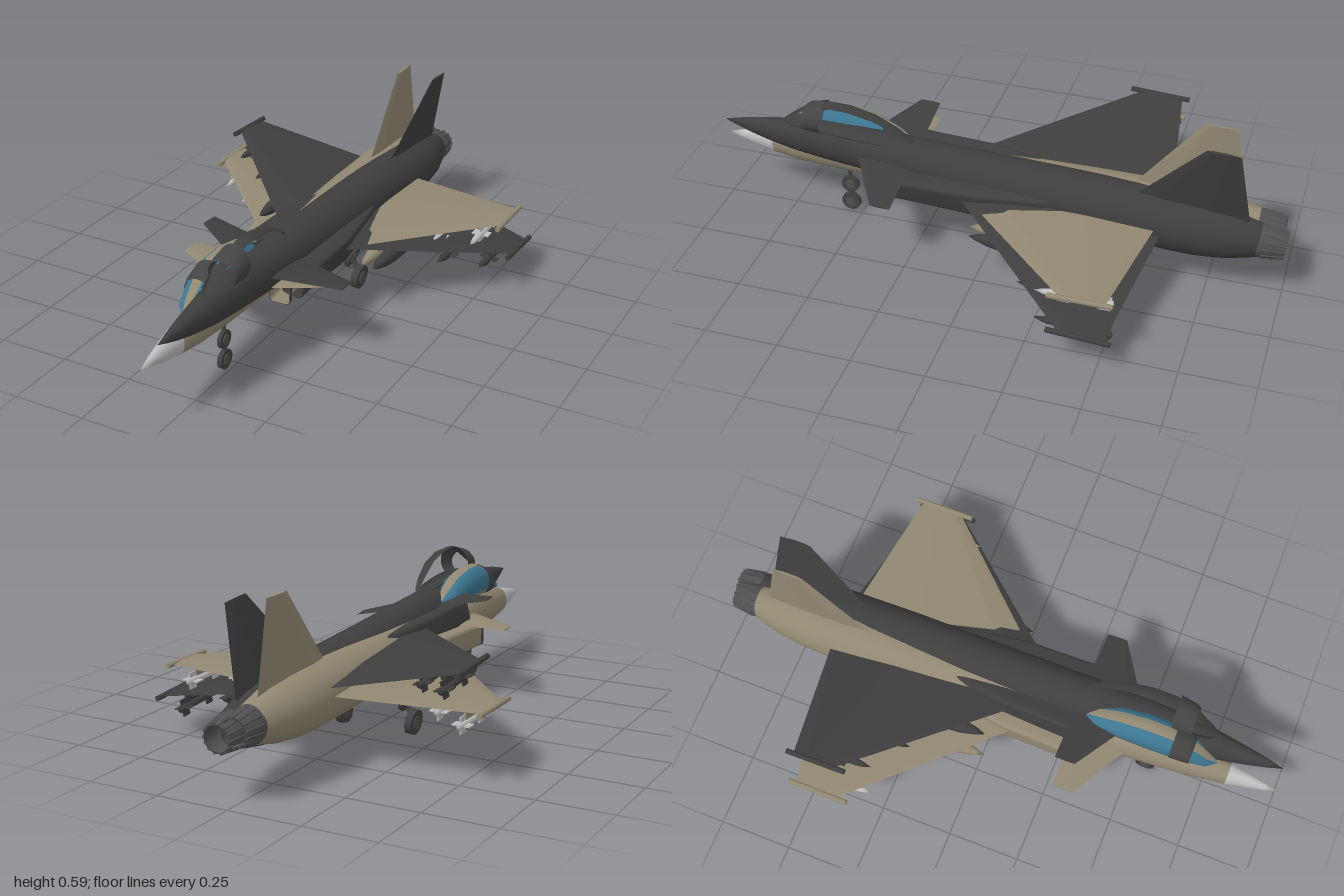
import * as THREE from 'three';
import { mergeVertices } from 'three/addons/utils/BufferGeometryUtils.js';
import { ConvexGeometry } from 'three/addons/geometries/ConvexGeometry.js';

const mat = (name, color, side = THREE.FrontSide) => {
  const m = new THREE.MeshStandardMaterial({ color, side });
  m.name = name;
  return m;
};
const V = (x, y, z) => new THREE.Vector3(x, y, z);

// Surface through elliptical sections [z, centreY, halfWidth, halfHeight, centreX], nose to tail.
// Angles run from the top towards +x; a power below 1 makes the section boxy.
function loft(sections, a0 = 0, a1 = Math.PI * 2, power = 1, scale = 1, n = 32) {
  const pos = [], idx = [];
  const pw = (v) => Math.sign(v) * Math.abs(v) ** power;
  for (const [z, cy, hw, hh, cx = 0] of sections)
    for (let j = 0; j <= n; j++) {
      const a = a0 + (a1 - a0) * j / n;
      pos.push(cx + hw * scale * pw(Math.sin(a)), cy + hh * scale * pw(Math.cos(a)), z);
    }
  for (let i = 0; i < sections.length - 1; i++)
    for (let j = 0; j < n; j++) {
      const p = i * (n + 1) + j, q = p + n + 1;
      idx.push(p, p + 1, q, p + 1, q + 1, q);
    }
  let g = new THREE.BufferGeometry();
  g.setAttribute('position', new THREE.Float32BufferAttribute(pos, 3));
  g.setIndex(idx);
  g = mergeVertices(g, 1e-5);
  g.computeVertexNormals();
  return g;
}

// Part of a section list between two z values
function cut(sections, front, back) {
  const at = (z) => {
    const i = sections.findIndex((s, k) => k > 0 && s[0] <= z);
    const a = sections[i - 1], b = sections[i], t = (a[0] - z) / (a[0] - b[0]);
    return a.map((v, k) => v + (b[k] - v) * t);
  };
  return [at(front), ...sections.filter((s) => s[0] < front && s[0] > back), at(back)];
}

// Thin tapered panel: each end is [point at leading edge, point at trailing edge, thickness direction]
function panel(ends) {
  const pts = [];
  for (const [le, te, th] of ends) {
    pts.push(le, te);
    for (const t of [0.2, 0.65]) {
      const m = le.clone().lerp(te, t);
      pts.push(m.clone().add(th), m.clone().sub(th));
    }
  }
  return new ConvexGeometry(pts);
}

function add(parent, name, geometry, material, x = 0, y = 0, z = 0) {
  const m = new THREE.Mesh(geometry, material);
  m.name = name;
  m.position.set(x, y, z);
  parent.add(m);
  return m;
}

function rod(parent, name, a, b, r, material) {
  const d = b.clone().sub(a);
  const m = add(parent, name, new THREE.CylinderGeometry(r, r, d.length(), 12), material);
  m.position.copy(a).addScaledVector(d, 0.5);
  m.quaternion.setFromUnitVectors(V(0, 1, 0), d.normalize());
}

const BODY = [
  [1.0, 0, 0, 0], [0.95, 0, 0.012, 0.016], [0.9, 0, 0.022, 0.03], [0.82, 0, 0.036, 0.047],
  [0.73, 0.004, 0.05, 0.062], [0.62, 0.01, 0.062, 0.074], [0.5, 0.012, 0.07, 0.078],
  [0.3, 0.006, 0.078, 0.08], [0.1, 0, 0.084, 0.088], [-0.1, -0.003, 0.09, 0.092],
  [-0.35, -0.006, 0.096, 0.098], [-0.6, -0.01, 0.099, 0.1], [-0.7, -0.01, 0.097, 0.097],
  [-0.8, -0.01, 0.084, 0.085], [-0.9, -0.008, 0.056, 0.062],
];
// Canopy given as [z, top height, half width]; its floor is level
const CANOPY = [
  [0.775, 0.065, 0], [0.74, 0.095, 0.032], [0.67, 0.157, 0.049], [0.6, 0.181, 0.054], [0.52, 0.184, 0.055],
  [0.43, 0.166, 0.051], [0.35, 0.127, 0.04], [0.31, 0.1, 0.025], [0.28, 0.07, 0],
].map(([z, top, hw]) => [z, (top + 0.062) / 2, hw, (top - 0.062) / 2]);

function missile(parent, s, x, front, skin, body) {
  const g = new THREE.Group();
  g.name = 'missile';
  g.position.set(s * x, -0.047, front - 0.13);
  parent.add(g);
  add(g, 'missileBody', loft([[0.13, 0, 0, 0], [0.1, 0, 0.009, 0.009], [0.08, 0, 0.012, 0.012],
    [-0.125, 0, 0.012, 0.012], [-0.13, 0, 0, 0]], 0, Math.PI * 2, 1, 1, 14), body);
  for (const z of [0.03, -0.1]) {
    add(g, 'missileFins', new THREE.BoxGeometry(0.06, 0.004, 0.035), body, 0, 0, z);
    add(g, 'missileFins', new THREE.BoxGeometry(0.004, 0.056, 0.035), body, 0, 0, z);
  }
  add(g, 'pylon', new THREE.BoxGeometry(0.008, 0.045, 0.09), skin, 0, 0.027, -0.04);
}

function createJet(name, skin, nose, stores, m, glass) {
  const jet = new THREE.Group();
  jet.name = name;

  // Fuselage and nose cone
  add(jet, 'noseCone', loft(cut(BODY, 1, 0.82)), nose);
  add(jet, 'fuselage', loft(cut(BODY, 0.82, -0.9)), skin);

  // Canopy: glass, top strip, sill and arch
  if (glass) add(jet, 'canopyGlass', loft(CANOPY), glass);
  add(jet, 'canopyStrip', loft(CANOPY, -0.36, 0.36, 1, 1.04, 8), skin);
  add(jet, 'canopySill', loft(CANOPY, 2.1, Math.PI * 2 - 2.1, 1, 1.04, 16), skin);
  add(jet, 'canopyArch', loft(cut(CANOPY, 0.685, 0.615), 0, Math.PI * 2, 1, 1.07), m.frame);

  // Tail fin
  add(jet, 'tailFin', panel([
    [V(0, 0.07, -0.47), V(0, 0.05, -0.86), V(0.009, 0, 0)],
    [V(0, 0.347, -0.69), V(0, 0.347, -0.8), V(0.004, 0, 0)],
  ]), skin);

  // Engine nozzle with petals
  add(jet, 'nozzle', loft([[-0.885, -0.008, 0.058, 0.061], [-0.93, -0.008, 0.056, 0.057],
    [-0.985, -0.008, 0.046, 0.046], [-0.985, -0.008, 0.04, 0.04], [-0.9, -0.008, 0.045, 0.045],
    [-0.9, -0.008, 0, 0]], 0, Math.PI * 2, 1, 1, 24), m.nozzle);
  for (let i = 0; i < 14; i++) {
    const a = i * Math.PI / 7, c = Math.sin(a), d = Math.cos(a);
    rod(jet, 'nozzlePetal', V(c * 0.057, d * 0.058 - 0.008, -0.91), V(c * 0.046, d * 0.046 - 0.008, -0.986), 0.004, m.nozzle);
  }

  for (const s of [1, -1]) {
    // Delta wing with tip rail
    add(jet, 'wing', panel([
      [V(s * 0.05, 0.004, 0.17), V(s * 0.05, 0.004, -0.59), V(0, 0.015, 0)],
      [V(s * 0.56, 0, -0.37), V(s * 0.56, 0, -0.515), V(0, 0.005, 0)],
    ]), skin);
    rod(jet, 'wingTipRail', V(s * 0.562, 0, -0.33), V(s * 0.562, 0, -0.54), 0.009, skin);

    // Canard
    add(jet, 'canard', panel([
      [V(s * 0.055, 0.03, 0.48), V(s * 0.055, 0.03, 0.29), V(0, 0.006, 0)],
      [V(s * 0.262, 0.03, 0.36), V(s * 0.262, 0.03, 0.29), V(0, 0.002, 0)],
    ]), skin);

    // Air intake: duct, lip and dark interior
    const duct = [[0.38, -0.016, 0.036, 0.04, s * 0.108], [0.25, -0.016, 0.038, 0.043, s * 0.1],
      [0.05, -0.014, 0.044, 0.05, s * 0.09], [-0.2, -0.01, 0.035, 0.05, s * 0.06]];
    add(jet, 'intakeDuct', loft(duct, 0, Math.PI * 2, 0.35), skin);
    add(jet, 'intakeLip', loft(cut(duct, 0.38, 0.362), 0, Math.PI * 2, 0.35, 1.05), m.frame);
    add(jet, 'intakeInterior', new THREE.BoxGeometry(0.066, 0.076, 0.006), m.frame, s * 0.1, -0.016, 0.24);

    // Drop tank and pylon
    add(jet, 'dropTank', loft([[0.03, 0, 0, 0], [0, 0, 0.012, 0.012], [-0.05, 0, 0.023, 0.023], [-0.11, 0, 0.028, 0.028],
      [-0.22, 0, 0.028, 0.028], [-0.29, 0, 0.02, 0.02], [-0.35, 0, 0, 0]], 0, Math.PI * 2, 1, 1, 20), skin, s * 0.225, -0.053, 0);
    add(jet, 'tankPylon', new THREE.BoxGeometry(0.01, 0.04, 0.14), skin, s * 0.225, -0.02, -0.18);

    // Missiles
    missile(jet, s, 0.37, -0.18, skin, stores);
    missile(jet, s, 0.49, -0.27, skin, stores);
  }
  return jet;
}

function wheel(parent, name, x, y, z, r, w, m, tilt = 0) {
  const g = new THREE.Group();
  g.name = name;
  g.position.set(x, y, z);
  g.rotation.z = tilt;
  parent.add(g);
  const tyre = add(g, 'tyre', new THREE.CylinderGeometry(r, r, w, 24), m.tyre);
  const hub = add(g, 'hub', new THREE.CylinderGeometry(r * 0.55, r * 0.55, w + 0.006, 16), m.nozzle);
  tyre.rotation.z = hub.rotation.z = Math.PI / 2;
}

export function createModel() {
  const model = new THREE.Group();
  const D = THREE.DoubleSide;
  const m = {
    tan: mat('tan paint', 0x918771, D), dark: mat('charcoal paint', 0x3e3e3e, D),
    pale: mat('pale grey', 0xbcbcbc), glass: mat('blue glass', 0x3c7590),
    frame: mat('dark frame', 0x444444, D), nozzle: mat('nozzle metal', 0x505052, D),
    tyre: mat('tyre rubber', 0x414141),
  };

  // Tan jet standing on its landing gear
  const tan = createJet('tanJet', m.tan, m.pale, m.pale, m, m.glass);
  tan.position.set(-0.02, 0.243, 0);
  model.add(tan);

  const gear = new THREE.Group();
  gear.name = 'landingGear';
  gear.position.set(-0.02, 0, 0);
  model.add(gear);
  rod(gear, 'noseStrut', V(0, 0.04, 0.545), V(0, 0.2, 0.545), 0.007, m.frame);
  wheel(gear, 'noseWheel', 0, 0.035, 0.545, 0.034, 0.016, m);
  wheel(gear, 'upperNoseWheel', 0, 0.108, 0.545, 0.032, 0.014, m);
  for (const s of [1, -1]) {
    rod(gear, 'mainStrut', V(s * 0.128, 0.06, -0.135), V(s * 0.075, 0.19, -0.135), 0.009, m.frame);
    wheel(gear, 'mainWheel', s * 0.134, 0.045, -0.135, 0.043, 0.024, m, -s * 0.1);
    wheel(gear, 'upperMainWheel', s * 0.106, 0.115, -0.135, 0.038, 0.014, m, -s * 0.38);
  }

  // Charcoal jet, banked and pitched up, with an unglazed canopy
  const dark = createJet('charcoalJet', m.dark, m.dark, m.dark, m, null);
  dark.position.set(0.032, 0.275, -0.015);
  dark.rotation.set(-0.056, 0, -0.209);
  model.add(dark);
  return model;
}
